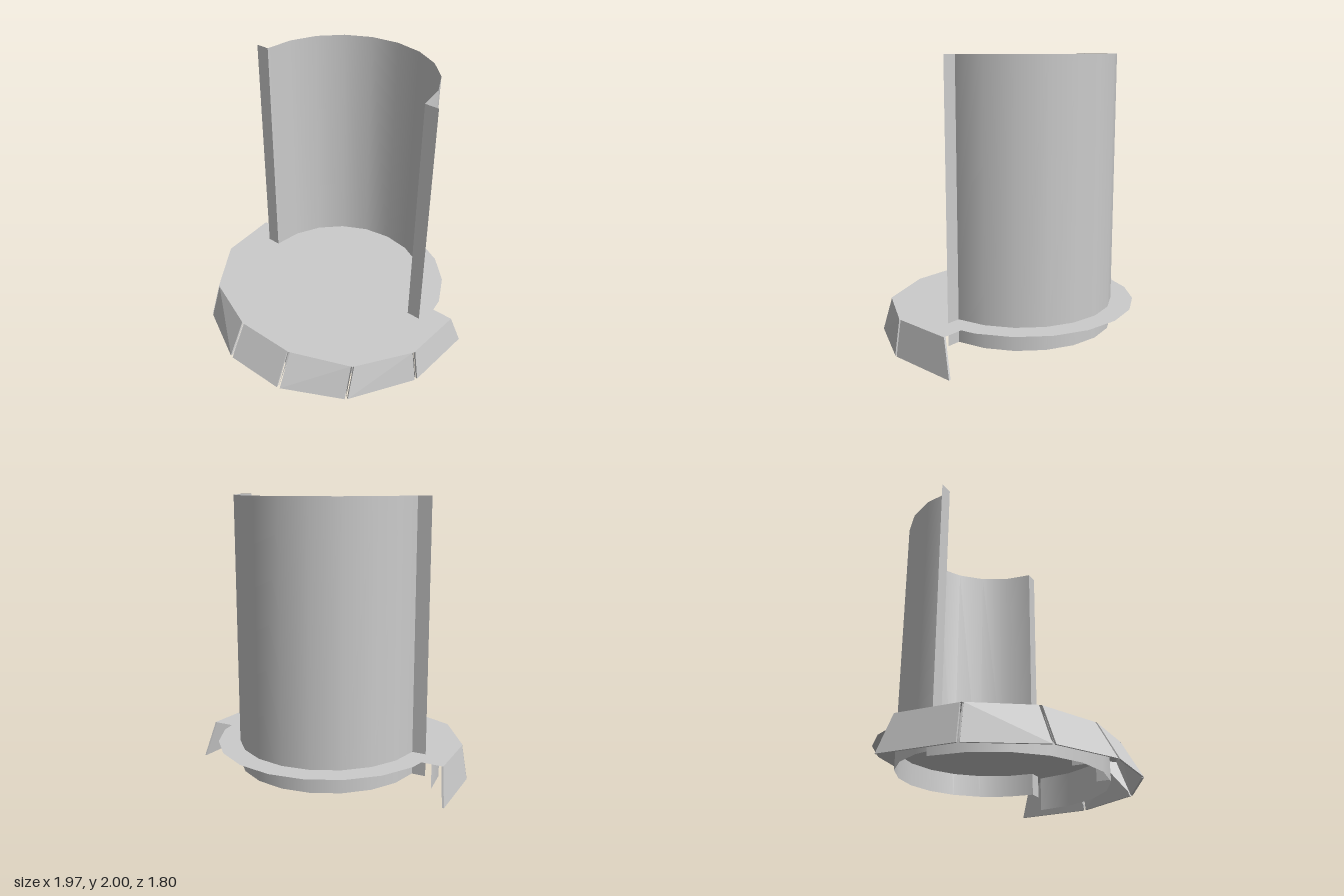
import * as THREE from 'three';
import { ConvexGeometry } from 'three/addons/geometries/ConvexGeometry.js';

const mat = new THREE.MeshStandardMaterial({ color: 0xcccccc, side: THREE.DoubleSide });
const flat = new THREE.MeshStandardMaterial({ color: 0xcccccc, side: THREE.DoubleSide, flatShading: true });

const DECK = 0.25, CZ = -0.09;
const V = (x, y, z) => new THREE.Vector3(x, y, z);

// half corner lists [x, z] from the rear end to the front, mirrored to the other side
const mirror = (pts) => [...pts, ...pts.slice().reverse().map(([x, z]) => [-x, z])];
const rimTop = mirror([[0.94, -0.24], [0.915, 0.21], [0.66, 0.59], [0.225, 0.765]]);
const rimBottom = mirror([[0.985, -0.325], [0.955, 0.215], [0.675, 0.675], [0.235, 0.9]]);

export function createModel() {
  const group = new THREE.Group();
  const add = (name, geometry, material = mat) => {
    const mesh = new THREE.Mesh(geometry, material);
    mesh.name = name;
    group.add(mesh);
    return mesh;
  };

  // flat deck: faceted front edge, rounded back with two notches
  const outline = rimTop.slice().reverse();
  outline.push([0.785, -0.24]);
  for (let i = 4; i >= -4; i--) {
    const a = (i * Math.PI) / 10;
    outline.push([0.808 * Math.sin(a), -0.095 - 0.808 * Math.cos(a)]);
  }
  outline.push([-0.785, -0.24]);
  const shape = new THREE.Shape(outline.map(([x, z]) => new THREE.Vector2(x, -z)));
  add('deck', new THREE.ShapeGeometry(shape).rotateX(-Math.PI / 2).translate(0, DECK, 0));

  // curved back wall, open to the front, reaching below the deck
  const R = 0.655, low = 0.09, h = 2 - low;
  const wall = new THREE.CylinderGeometry(R, R, h, 10, 1, true, Math.PI / 2, Math.PI);
  add('backWall', wall.translate(0, low + h / 2, CZ));

  // straight strips at the wall's two ends
  for (const s of [1, -1]) {
    add('wallFlange', new THREE.PlaneGeometry(0.1, h).translate(s * (R + 0.05), low + h / 2, CZ));
  }

  // curved skirt under the front of the deck
  const skirtR = 0.8;
  const skirt = new THREE.CylinderGeometry(skirtR, skirtR, DECK - 0.005, 10, 1, true, -Math.PI / 2, Math.PI);
  add('underSkirt', skirt.translate(0, DECK / 2, CZ));
  for (const s of [1, -1]) {
    const tab = new THREE.PlaneGeometry(0.09, DECK - 0.01).rotateY(Math.PI / 2);
    add('skirtTab', tab.translate(s * 0.21, DECK / 2, 0.63));
  }

  // sloping rim panels with narrow seams between them
  for (let i = 0; i < rimTop.length - 1; i++) {
    const edge = (list, y) => {
      const a = V(list[i][0], y, list[i][1]);
      const b = V(list[i + 1][0], y, list[i + 1][1]);
      const gap = b.clone().sub(a).setLength(0.012);
      return [i > 0 ? a.add(gap) : a, i < 6 ? b.sub(gap) : b];
    };
    const outer = [...edge(rimTop, DECK), ...edge(rimBottom, 0)];
    const normal = outer[1].clone().sub(outer[0]).cross(outer[2].clone().sub(outer[0])).normalize();
    const mid = outer[0].clone().add(outer[1]);
    if (normal.x * mid.x + normal.z * mid.z > 0) normal.negate();
    normal.y = 0;
    const inner = outer.map((p) => p.clone().addScaledVector(normal, 0.014));
    add('rimPanel', new ConvexGeometry([...outer, ...inner]), flat);
  }

  // triangular gussets behind each seam
  for (let i = 1; i < rimTop.length - 1; i++) {
    const [tx, tz] = rimTop[i], [bx, bz] = rimBottom[i];
    const d = new THREE.Vector2(tx, tz - CZ).setLength(skirtR);
    const geometry = new THREE.BufferGeometry().setFromPoints([
      V(tx * 0.99, DECK, tz * 0.99), V(bx * 0.99, 0.005, bz * 0.99), V(d.x, DECK, d.y + CZ),
    ]);
    geometry.computeVertexNormals();
    add('rimGusset', geometry, flat);
  }

  return group;
}
